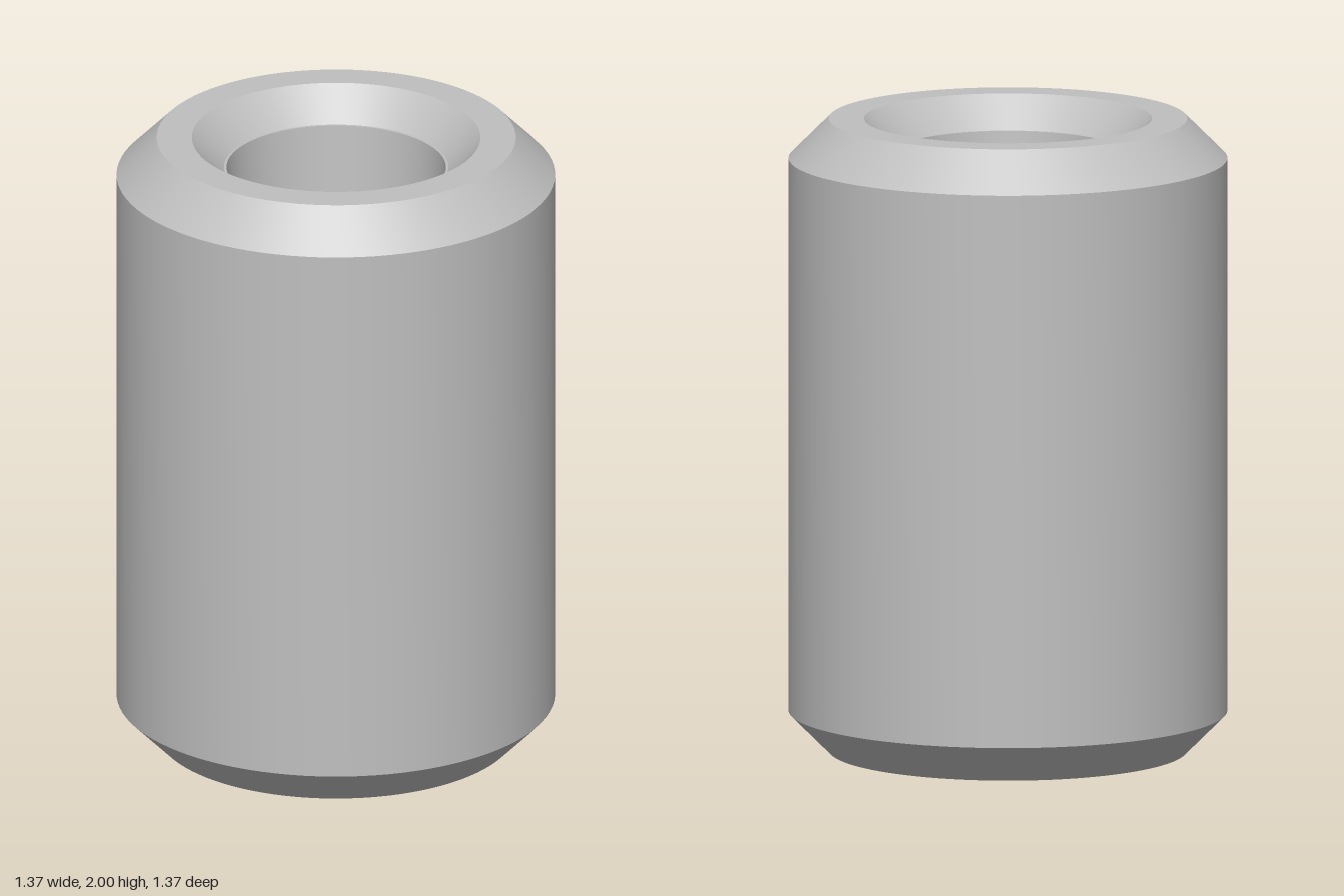
import * as THREE from 'three';
import { toCreasedNormals } from 'three/addons/utils/BufferGeometryUtils.js';

export function createModel() {
  const group = new THREE.Group();
  group.name = 'taperedBushing';

  const steel = new THREE.MeshStandardMaterial({ color: 0xbfbfbf });
  steel.name = 'steel grey';

  // Revolves a [radius, height] profile, keeping its corners sharp
  function revolve(name, profile) {
    const points = profile.map(([r, y]) => new THREE.Vector2(r, y));
    const geometry = toCreasedNormals(new THREE.LatheGeometry(points, 96), Math.PI / 9);
    const mesh = new THREE.Mesh(geometry, steel);
    mesh.name = name;
    group.add(mesh);
  }

  // Bottom face, lower chamfer, barrel, upper chamfer, top face
  revolve('outerBody', [
    [0.29, 0], [0.56, 0], [0.685, 0.125], [0.685, 1.875], [0.56, 2], [0.45, 2],
  ]);

  // Top countersink down to a narrow ledge
  revolve('topCountersink', [[0.45, 2], [0.35, 1.9], [0.342, 1.9]]);

  // Long bore narrowing towards the bottom
  revolve('taperedBore', [[0.342, 1.9], [0.2, 0.09]]);

  // Flared bottom opening
  revolve('bottomCountersink', [[0.2, 0.09], [0.29, 0]]);

  return group;
}
